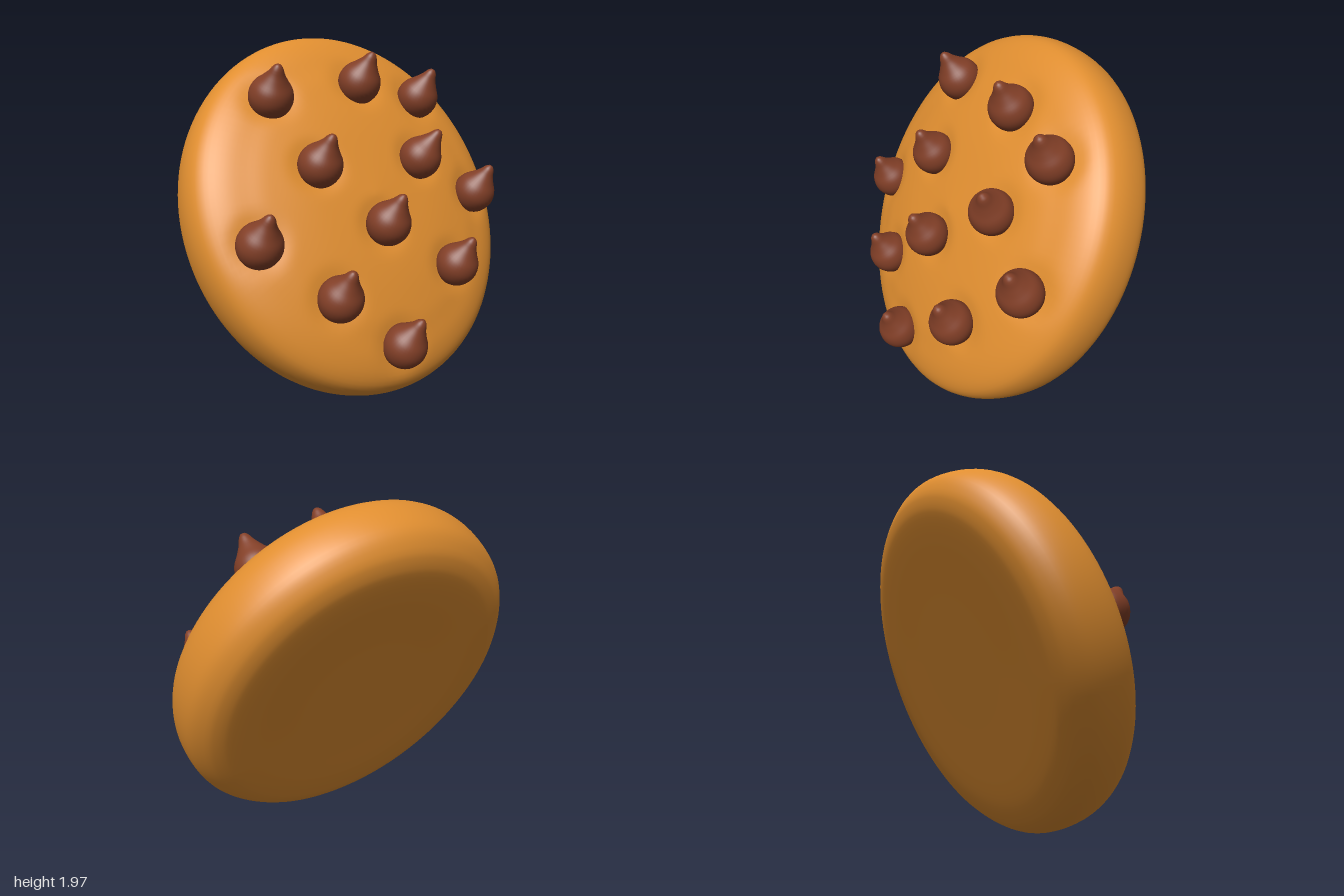
import * as THREE from 'three';
import { mergeVertices } from 'three/addons/utils/BufferGeometryUtils.js';

const V2 = (p) => new THREE.Vector2(p[0], p[1]);

// Smooth lathe without a shading seam
function smoothLathe(profile, samples, segments, shape) {
  const points = new THREE.SplineCurve(profile.map(V2)).getSpacedPoints(samples);
  points.forEach((p) => { p.x = Math.max(0, p.x); });
  let geo = new THREE.LatheGeometry(points, segments);
  geo.deleteAttribute('uv');
  geo.deleteAttribute('normal');
  geo = mergeVertices(geo, 1e-5);
  if (shape) shape(geo.attributes.position);
  geo.computeVertexNormals();
  return geo;
}

// Half cross-section of the cookie: flat back, round rim, gently domed front
const DOUGH = [
  [0, -0.235], [0.4, -0.235], [0.82, -0.235], [0.92, -0.222], [0.985, -0.19], [1.05, -0.11],
  [1.07, 0.02], [1.05, 0.125], [0.998, 0.185], [0.91, 0.23], [0.8, 0.262],
  [0.66, 0.295], [0.4, 0.33], [0, 0.35],
];

// Teardrop cross-section of a chip
const CHIP = [
  [0, -0.125], [0.06, -0.117], [0.105, -0.075], [0.124, -0.01], [0.11, 0.05],
  [0.073, 0.1], [0.046, 0.14], [0.029, 0.175], [0.014, 0.192], [0, 0.196],
];

// Each chip: body centre x, y, z and the sideways lean of its tip
const CHIPS = [
  [-0.115, 1.70, 0.46, 0.01], [-0.08, 1.75, -0.113, -0.02], [-0.03, 1.645, -0.52, -0.03],
  [0.15, 1.35, 0.325, -0.015], [0.195, 1.325, -0.35, -0.06], [0.225, 1.0, 0.75, -0.01],
  [0.375, 1.03, 0.033, -0.02], [0.275, 1.085, -0.728, -0.03], [0.445, 0.70, 0.408, -0.01],
  [0.48, 0.74, -0.393, -0.025], [0.575, 0.395, 0.075, -0.035],
];

export function createModel() {
  const model = new THREE.Group();
  model.name = 'cookie';
  const doughColor = new THREE.MeshStandardMaterial({ color: 0xe08e30 });
  doughColor.name = 'golden dough';
  const chipColor = new THREE.MeshStandardMaterial({ color: 0x823f27 });
  chipColor.name = 'chocolate';

  // Leaning dough disc, with shallow dents where the chips sit
  const dough = new THREE.Mesh(undefined, doughColor);
  dough.name = 'dough';
  dough.rotation.order = 'YXZ';
  dough.rotation.set(0, -0.035, -THREE.MathUtils.degToRad(62.5));
  dough.position.set(-0.058, 1.001, 0);
  dough.updateMatrixWorld();
  const dents = CHIPS.map(([x, y, z]) => dough.worldToLocal(new THREE.Vector3(x, y, z)));
  dough.geometry = smoothLathe(DOUGH, 90, 128, (pos) => {
    for (let i = 0; i < pos.count; i++) {
      const x = pos.getX(i), z = pos.getZ(i) / 1.07;
      let y = pos.getY(i);
      if (y > 0.18) {
        for (const d of dents) y -= 0.02 * Math.exp(-Math.pow(Math.hypot(x - d.x, z - d.z) / 0.14, 4));
      }
      pos.setXYZ(i, x, y, z);
    }
  });
  model.add(dough);

  // Chocolate chips, tips pointing up and outward
  const chips = new THREE.Group();
  chips.name = 'chocolateChips';
  const chipGeo = smoothLathe(CHIP, 28, 36);
  const up = new THREE.Vector3(0, 1, 0);
  CHIPS.forEach(([x, y, z, lean], i) => {
    const chip = new THREE.Mesh(chipGeo, chipColor);
    chip.name = `chip${i + 1}`;
    chip.position.set(x, y, z);
    chip.quaternion.setFromUnitVectors(up, new THREE.Vector3(0.1, 0.165, lean).normalize());
    chips.add(chip);
  });
  model.add(chips);
  return model;
}
